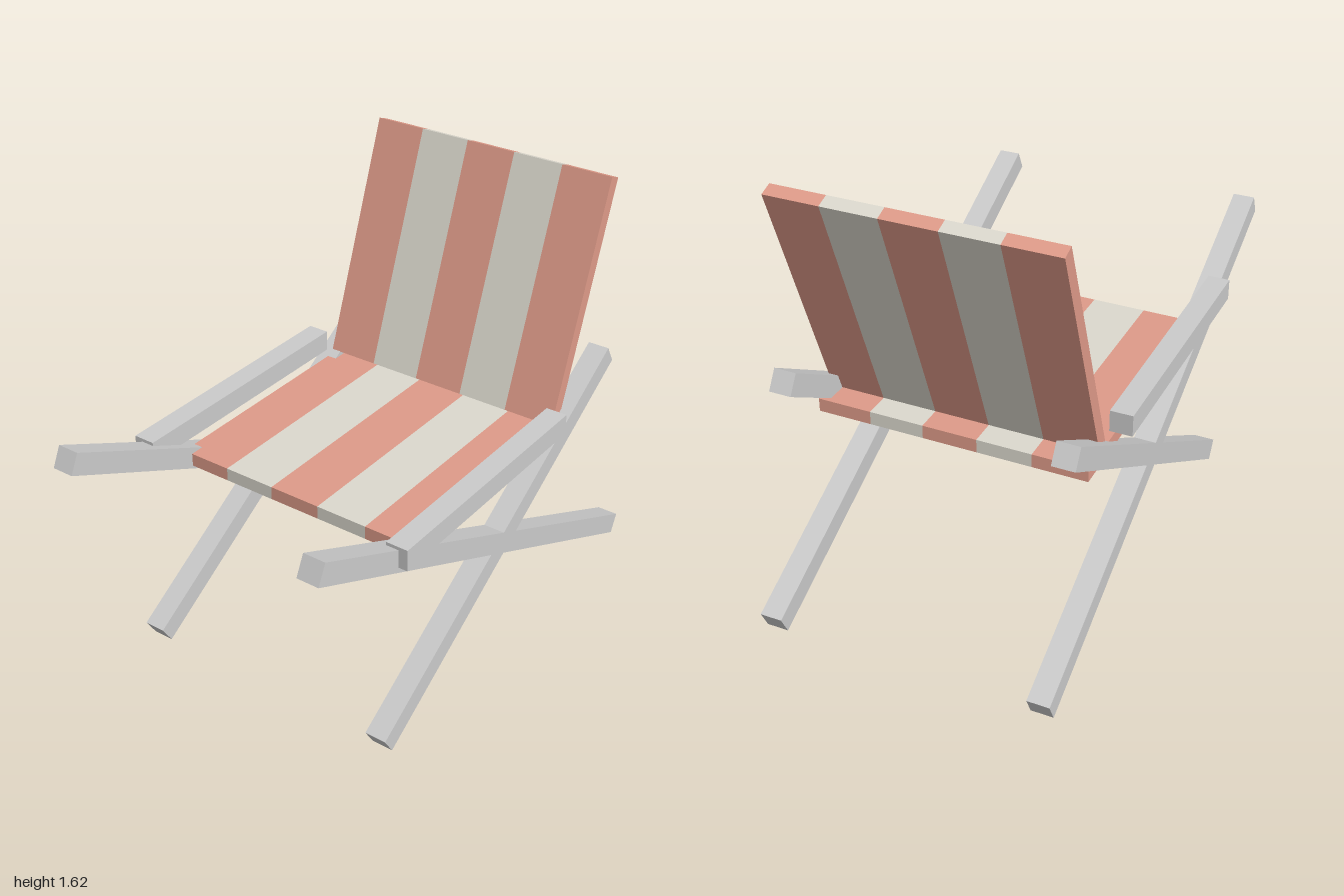
import * as THREE from 'three';

const wood = new THREE.MeshStandardMaterial({ color: 0xcccccc });
const red = new THREE.MeshStandardMaterial({ color: 0xdf9b89 });
const cream = new THREE.MeshStandardMaterial({ color: 0xdcd9ce });

function box(name, size, position, material) {
  const mesh = new THREE.Mesh(new THREE.BoxGeometry(...size), material);
  mesh.name = name;
  mesh.position.set(...position);
  return mesh;
}

// Square bar in a side plane, running between two [z, y] end centres
function bar(name, x, [z0, y0], [z1, y1]) {
  const length = Math.hypot(z1 - z0, y1 - y0);
  const mesh = box(name, [0.082, 0.08, length], [x, (y0 + y1) / 2, (z0 + z1) / 2], wood);
  mesh.rotation.x = -Math.atan2(y1 - y0, z1 - z0);
  return mesh;
}

// Panel made of five alternating stripes
function stripedPanel(name, height, depth) {
  const panel = new THREE.Group();
  panel.name = name;
  for (let i = 0; i < 5; i++) {
    panel.add(box(name + 'Stripe', [0.2, height, depth], [(i - 2) * 0.2, 0, 0], i % 2 ? cream : red));
  }
  return panel;
}

export function createModel() {
  const chair = new THREE.Group();
  chair.name = 'deckChair';

  // Crossed legs and armrests on both sides
  for (const [side, s] of [['left', 1], ['right', -1]]) {
    chair.add(bar(side + 'LongLeg', s * 0.504, [-0.983, 0.041], [0.983, 0.99]));
    chair.add(bar(side + 'ShortLeg', s * 0.504, [0.633, 0.044], [-0.8, 0.922]));
    chair.add(box(side + 'Armrest', [0.082, 0.08, 1.006], [s * 0.538, 0.816, 0.085], wood));
  }

  // Flat seat
  const seat = stripedPanel('seat', 0.05, 1.03);
  seat.position.set(0, 0.716, -0.085);
  chair.add(seat);

  // Reclined backrest
  const back = stripedPanel('backrest', 0.925, 0.05);
  back.position.set(0, 1.185, -0.64);
  back.rotation.x = -THREE.MathUtils.degToRad(20);
  chair.add(back);

  return chair;
}
